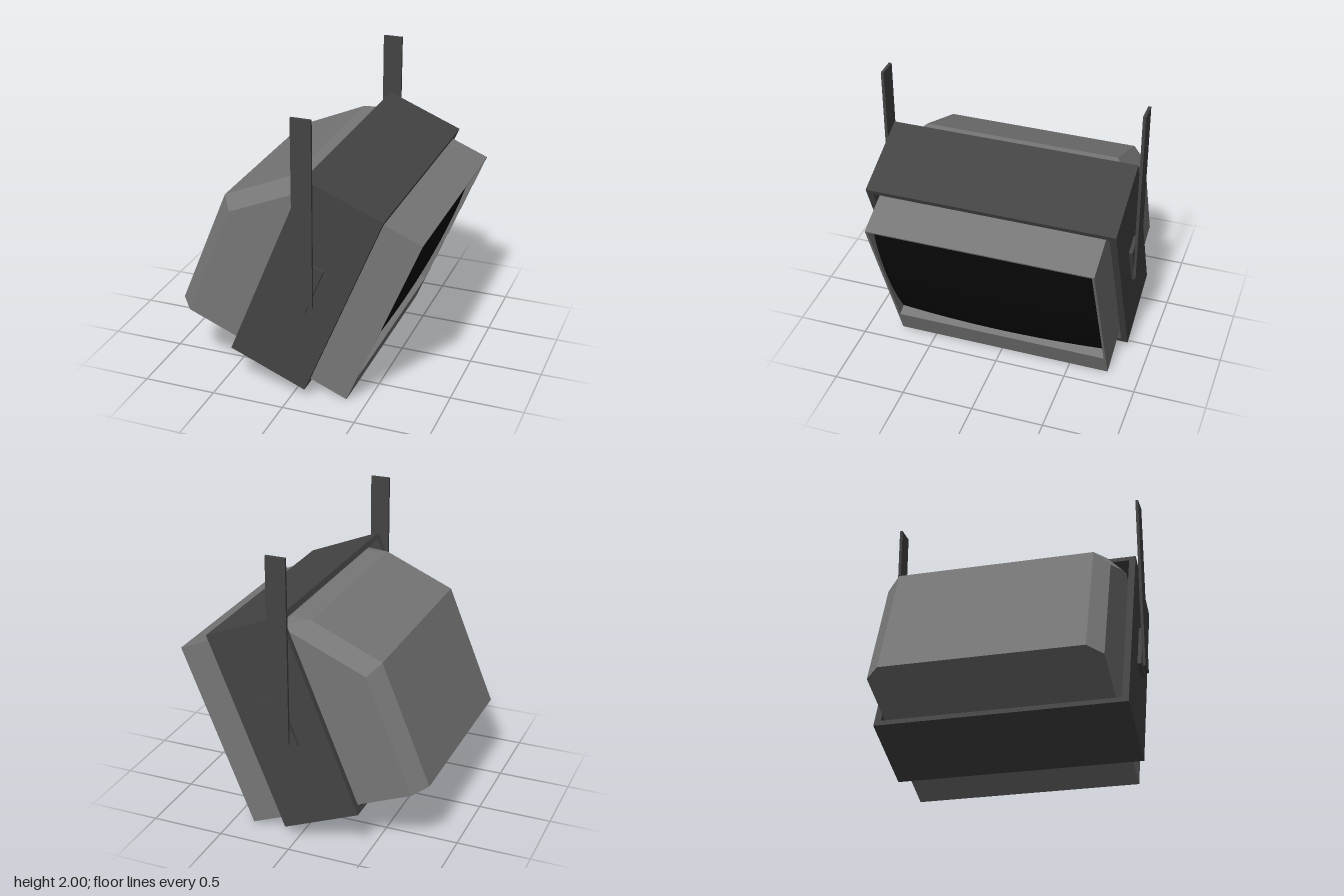
import * as THREE from 'three';
import { ConvexGeometry } from 'three/addons/geometries/ConvexGeometry.js';

const material = (color, side = THREE.FrontSide) =>
  new THREE.MeshStandardMaterial({ color, flatShading: true, side });

function add(parent, name, geometry, mat, x = 0, y = 0, z = 0) {
  const mesh = new THREE.Mesh(geometry, mat);
  mesh.name = name;
  mesh.position.set(x, y, z);
  parent.add(mesh);
  return mesh;
}

function rectangle(Type, x0, y0, x1, y1) {
  return new Type([[x0, y0], [x1, y0], [x1, y1], [x0, y1]].map(([x, y]) => new THREE.Vector2(x, y)));
}

// Extrudes a rectangular ring, then turns it so its opening faces +x
function ring(outer, inner, depth) {
  const shape = rectangle(THREE.Shape, ...outer);
  shape.holes.push(rectangle(THREE.Path, ...inner));
  return new THREE.ExtrudeGeometry(shape, { depth, bevelEnabled: false }).rotateY(Math.PI / 2);
}

export function createModel() {
  const model = new THREE.Group();
  model.name = 'hangingMonitor';
  const casing = material(0x777777);
  const metal = material(0x444444);
  const glass = new THREE.MeshStandardMaterial({ color: 0x0a0a0a });

  // Everything except the straps leans forward; origin at the screen's lower edge
  const tilted = new THREE.Group();
  tilted.name = 'tiltedMonitor';
  tilted.position.set(0.36, 0.005, 0);
  tilted.rotation.z = THREE.MathUtils.degToRad(-22.17);
  model.add(tilted);

  const bodyZ = -0.008;
  const height = 1.312;
  const half = 0.768;
  const recess = 0.1;

  // Rear housing with chamfered back, top and sides: [x, y, half width]
  const corners = [
    [-recess, 0, half], [-recess, height, half],
    [-1.22, 0, half], [-1.22, 0.841, half], [-0.85, 1.215, half], [-0.74, height, half],
    [-1.312, 0, 0.67], [-1.312, 0.88, 0.67], [-0.943, 1.257, 0.67], [-0.808, height, 0.64],
  ];
  const points = corners.flatMap(([x, y, z]) => [new THREE.Vector3(x, y, z), new THREE.Vector3(x, y, -z)]);
  add(tilted, 'housing', new ConvexGeometry(points), casing, 0, 0, bodyZ);

  // Front bezel around the recessed screen
  const bezel = ring([-half, 0, half, height], [-0.752, 0.195, 0.752, 1.299], recess);
  add(tilted, 'bezel', bezel, casing, -recess, 0, bodyZ);

  // Bulging screen
  const screen = new THREE.PlaneGeometry(1.504, 1.104, 20, 16);
  const p = screen.attributes.position;
  for (let i = 0; i < p.count; i++) {
    const s = p.getX(i) / 0.752, t = p.getY(i) / 0.552;
    p.setZ(i, 0.005 - 0.03 * s * s - 0.05 * t * t);
  }
  screen.rotateY(Math.PI / 2);
  screen.computeVertexNormals();
  add(tilted, 'screen', screen, glass, 0, 0.747, bodyZ);

  // Open metal sleeve around the housing
  const sleeve = ring([-0.845, -0.042, 0.845, 1.371], [-0.8, -0.002, 0.8, 1.333], 0.565);
  add(tilted, 'mountingSleeve', sleeve, metal, -0.837, 0, -0.003);

  // Pivot plates and vertical hanging straps on both sides
  for (const side of [1, -1]) {
    const label = side > 0 ? 'left' : 'right';
    add(tilted, label + 'PivotPlate', new THREE.BoxGeometry(0.142, 0.346, 0.03), metal,
      -0.551, 0.683, side * 0.857 - 0.003);
    add(model, label + 'Strap', new THREE.BoxGeometry(0.136, 1.28, 0.02), metal,
      0.103, 1.36, side * 0.879 - 0.002);
  }
  return model;
}
